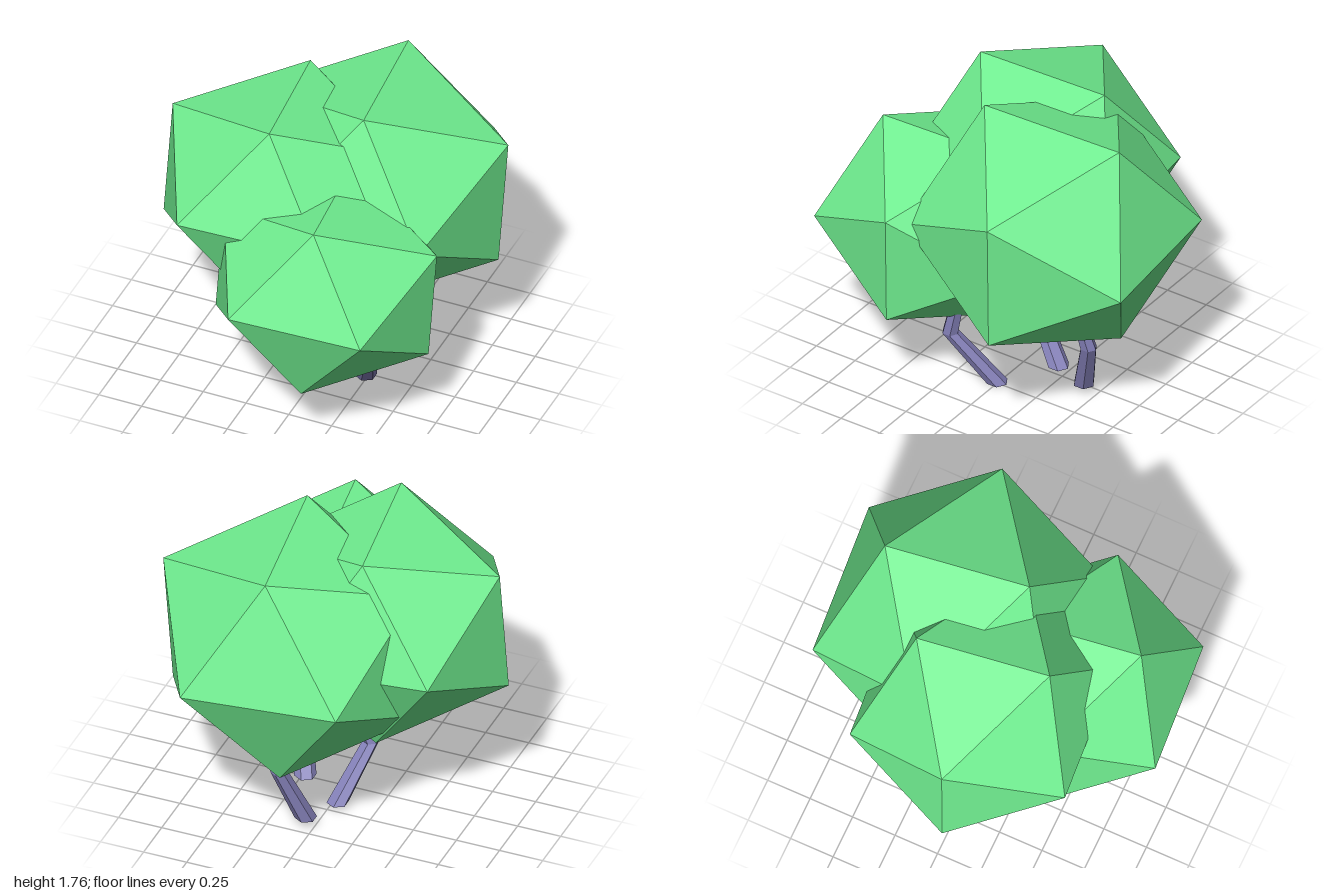
import * as THREE from 'three';
import { ConvexGeometry } from 'three/addons/geometries/ConvexGeometry.js';

const leafMaterial = new THREE.MeshStandardMaterial({ color: 0x70ee90, flatShading: true });
const trunkMaterial = new THREE.MeshStandardMaterial({ color: 0x8480b8, flatShading: true });

// Slightly squashed, tilted icosahedron: six spokes, each mirrored through the centre
function crownGeometry() {
  const spokes = [
    [0.07, 0.555, 0.33], [0.62, 0.31, -0.06], [0.43, 0.027, 0.53],
    [-0.315, 0.05, 0.59], [0.58, -0.345, -0.04], [0.01, -0.51, 0.36],
  ].map((p) => new THREE.Vector3(...p));
  return new ConvexGeometry([...spokes, ...spokes.map((p) => p.clone().negate())]);
}

// Six-sided bent stem whose level rings follow three points: foot, knee, top
function stemGeometry(points) {
  const radii = [0.06, 0.047, 0.036];
  const geometry = new THREE.CylinderGeometry(1, 1, 2, 6, 2);
  const pos = geometry.attributes.position;
  for (let i = 0; i < pos.count; i++) {
    const row = Math.round(pos.getY(i)) + 1;
    const [x, y, z] = points[row];
    pos.setXYZ(i, x + pos.getX(i) * radii[row], y, z + pos.getZ(i) * radii[row]);
  }
  geometry.computeVertexNormals();
  return geometry;
}

export function createModel() {
  const model = new THREE.Group();
  model.name = 'treeCluster';

  // Three crowns share one shape at different sizes
  const crown = crownGeometry();
  const crowns = [
    ['frontCrown', [0.18, 0.9, 0.41], 1],
    ['rightCrown', [-0.238, 1.165, 0.034], 1.08],
    ['backCrown', [0.171, 1.117, -0.306], 1.172],
  ];
  for (const [name, position, scale] of crowns) {
    const mesh = new THREE.Mesh(crown, leafMaterial);
    mesh.name = name;
    mesh.position.set(...position);
    mesh.scale.setScalar(scale);
    model.add(mesh);
  }

  // Bent stems reaching into the crowns
  const stems = [
    ['frontStem', [[0.235, 0.005, 0.01], [0.35, 0.305, 0.235], [0.34, 0.62, 0.17]]],
    ['rightStem', [[-0.04, 0.035, -0.2], [-0.14, 0.32, 0.025], [0.0, 0.62, 0.0]]],
    ['backStem', [[0.05, 0.055, -0.425], [0.16, 0.385, -0.53], [0.2, 0.68, -0.46]]],
  ];
  for (const [name, points] of stems) {
    const mesh = new THREE.Mesh(stemGeometry(points), trunkMaterial);
    mesh.name = name;
    model.add(mesh);
  }
  return model;
}
